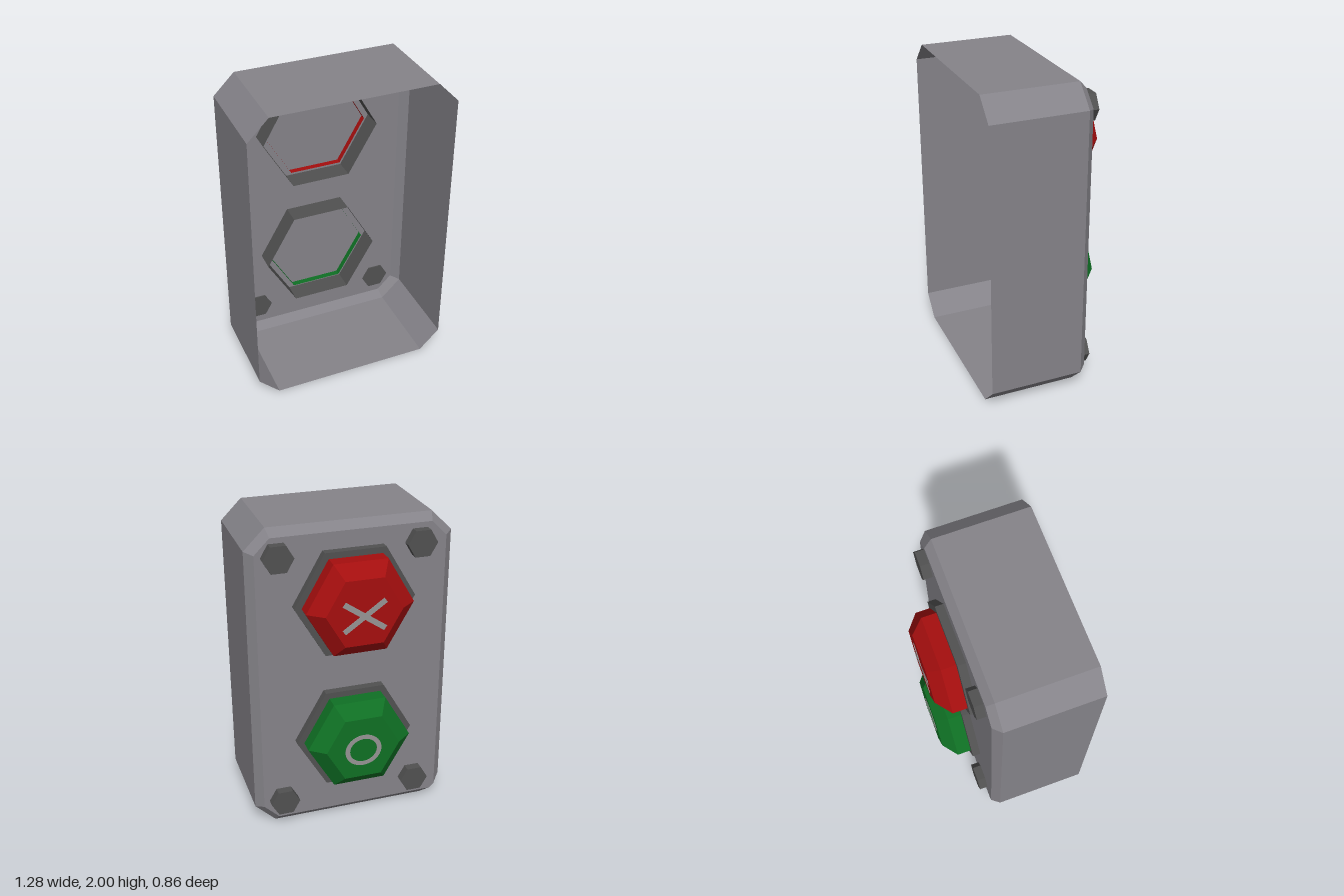
import * as THREE from 'three';

const flat = (color, name) => {
  const m = new THREE.MeshStandardMaterial({ color, flatShading: true, side: THREE.DoubleSide });
  m.name = name;
  return m;
};

// Rectangle with cut corners; cuts run bottom-left, bottom-right, top-right, top-left
function cutRect(hx, y0, y1, z, [a, b, c, d]) {
  return [
    [-hx, y0 + a, z], [-hx + a, y0, z], [hx - b, y0, z], [hx, y0 + b, z],
    [hx, y1 - c, z], [hx - c, y1, z], [-hx + d, y1, z], [-hx, y1 - d, z],
  ];
}

// Shell through matching sections, closed by a fan at the last one
function shell(sections) {
  const pos = [];
  const tri = (...p) => p.forEach(v => pos.push(...v));
  for (let s = 0; s < sections.length - 1; s++) {
    const A = sections[s], B = sections[s + 1];
    for (let i = 0; i < A.length; i++) {
      const j = (i + 1) % A.length;
      tri(A[i], A[j], B[j]);
      tri(A[i], B[j], B[i]);
    }
  }
  const L = sections[sections.length - 1];
  for (let i = 1; i < L.length - 1; i++) tri(L[0], L[i + 1], L[i]);
  // wind every face outwards from the box centre
  for (let k = 0; k < pos.length; k += 9) {
    const [a, b, c] = [0, 3, 6].map(o => new THREE.Vector3(...pos.slice(k + o, k + o + 3)));
    const n = b.clone().sub(a).cross(c.clone().sub(a));
    if (n.dot(a.clone().add(b).add(c).divideScalar(3).sub(new THREE.Vector3(0, 1, 0.1))) < 0) {
      pos.splice(k + 3, 6, c.x, c.y, c.z, b.x, b.y, b.z);
    }
  }
  const g = new THREE.BufferGeometry();
  g.setAttribute('position', new THREE.Float32BufferAttribute(pos, 3));
  g.computeVertexNormals();
  return g;
}

// Six-sided turned part; profile is [radius, distance towards -z]
function hexTurned(profile) {
  const pts = profile.map(([r, d]) => new THREE.Vector2(r, d));
  return new THREE.LatheGeometry(pts, 6, Math.PI / 2).rotateX(-Math.PI / 2);
}

export function createModel() {
  const model = new THREE.Group();
  model.name = 'pushButtonBox';
  const grey = flat(0x858389, 'housing grey');
  const dark = flat(0x515151, 'dark grey');
  const red = flat(0xa50e0e, 'button red');
  const green = flat(0x0f7024, 'button green');
  const pale = flat(0x969494, 'mark grey');

  const add = (name, geometry, material, x = 0, y = 0, z = 0) => {
    const m = new THREE.Mesh(geometry, material);
    m.name = name;
    m.position.set(x, y, z);
    model.add(m);
    return m;
  };

  // Housing: hollow box, open at the front, bevelled around the button plate
  const cuts = [0.13, 0.13, 0.13, 0.13];
  add('housing', shell([
    cutRect(0.64, 0, 2, 0.43, cuts),
    cutRect(0.64, 0, 2, -0.165, cuts),
    cutRect(0.59, 0.05, 1.95, -0.213, [0.03, 0.095, 0.095, 0.095]),
  ]), grey);

  // Bolts pass just through the plate
  const bolt = hexTurned([[0, 0.205], [0.094, 0.205], [0.094, 0.268], [0, 0.268]]);
  for (const x of [-0.42, 0.46]) {
    for (const y of [0.185, 1.835]) add('bolt', bolt, dark, x, y);
  }

  // Collars and buttons, open on the inside of the housing
  const collar = hexTurned([[0.377, 0.08], [0.377, 0.264], [0.3, 0.264]]);
  const cap = hexTurned([[0.333, 0.175], [0.333, 0.354], [0.237, 0.43], [0, 0.43]]);
  for (const [label, y, material] of [['stop', 1.517, red], ['start', 0.605, green]]) {
    add(label + 'Collar', collar, dark, -0.003, y);
    add(label + 'Button', cap, material, -0.003, y);
  }

  // Cross mark on the stop button
  for (const s of [-1, 1]) {
    const bar = add('crossMark', new THREE.BoxGeometry(0.31, 0.034, 0.004), pale, -0.003, 1.495, -0.431);
    bar.rotation.z = s * Math.atan2(0.09, 0.13);
  }

  // Oval mark on the start button
  const oval = new THREE.Shape().absellipse(0, 0, 0.118, 0.108, 0, Math.PI * 2);
  oval.holes.push(new THREE.Path().absellipse(0, 0, 0.088, 0.08, 0, Math.PI * 2));
  const ovalGeo = new THREE.ExtrudeGeometry(oval, { depth: 0.004, bevelEnabled: false, curveSegments: 20 });
  add('ovalMark', ovalGeo, pale, -0.003, 0.59, -0.433);

  return model;
}
